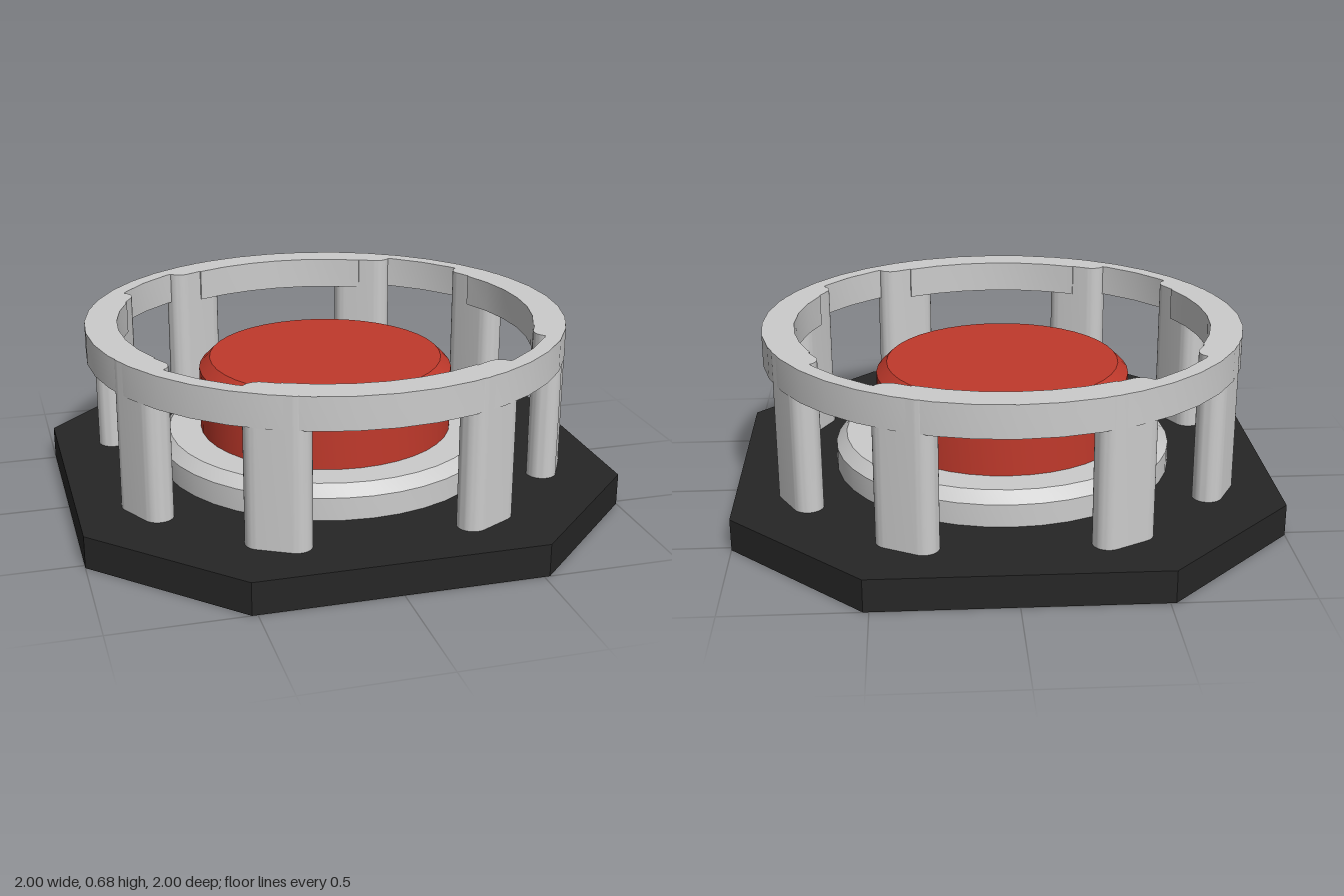
import * as THREE from 'three';
import { toCreasedNormals } from 'three/addons/utils/BufferGeometryUtils.js';

const grey = new THREE.MeshStandardMaterial({ color: 0xcccccc });
const black = new THREE.MeshStandardMaterial({ color: 0x262626 });
const red = new THREE.MeshStandardMaterial({ color: 0xc0392b });
const SEGMENTS = 40;

function part(name, geometry, material, parent) {
  const mesh = new THREE.Mesh(geometry, material);
  mesh.name = name;
  parent.add(mesh);
  return mesh;
}

// Extrudes a plan outline upwards from y0 to y1
function slab(shape, y0, y1) {
  const geometry = new THREE.ExtrudeGeometry(shape, { depth: y1 - y0, bevelEnabled: false, curveSegments: 10 });
  geometry.rotateX(-Math.PI / 2).translate(0, y0, 0);
  return toCreasedNormals(geometry, 0.5);
}

function turned(profile) {
  const points = profile.map(([r, y]) => new THREE.Vector2(r, y));
  return toCreasedNormals(new THREE.LatheGeometry(points, SEGMENTS), 0.5);
}

function arcPoints(radius, from, to, steps) {
  return Array.from({ length: steps + 1 }, (_, i) => {
    const a = from + ((to - from) * i) / steps;
    return new THREE.Vector2(radius * Math.cos(a), radius * Math.sin(a));
  });
}

export function createModel() {
  const model = new THREE.Group();
  model.name = 'guardedPushButton';

  // Eight-sided base plate: a square with its corners cut off
  const c = 0.52;
  const plate = [[1, -c], [1, c], [c, 1], [-c, 1], [-1, c], [-1, -c], [-c, -1], [c, -1]];
  part('basePlate', slab(new THREE.Shape(plate.map(([x, y]) => new THREE.Vector2(x, y))), 0, 0.12), black, model);

  // Collar and button, both with a chamfered rim
  part('collar', turned([[0, 0.12], [0.64, 0.12], [0.64, 0.205], [0.6, 0.245], [0, 0.245]]), grey, model);
  part('button', turned([[0, 0.2], [0.48, 0.2], [0.48, 0.48], [0.44, 0.52], [0, 0.52]]), red, model);

  // Guard ring: thick on the four sides, thin across the four diagonals
  const ring = new THREE.Shape(arcPoints(0.9, 0, Math.PI * 2, SEGMENTS).slice(0, -1));
  const step = THREE.MathUtils.degToRad(26);
  const inner = [];
  for (let k = 0; k < 4; k++) {
    const a = (k * Math.PI) / 2;
    inner.push(...arcPoints(0.78, a - step, a + step, 6));
    inner.push(...arcPoints(0.84, a + step, a + Math.PI / 2 - step, 4));
  }
  ring.holes.push(new THREE.Path(inner));
  part('guardRing', slab(ring, 0.56, 0.68), grey, model);

  // Guard posts: rounded bars in mirrored pairs, flush with the ring's top
  const r = 0.055, half = 0.0625;
  const bar = new THREE.Shape();
  bar.moveTo(-half, -r);
  bar.lineTo(half, -r);
  bar.absarc(half, 0, r, -Math.PI / 2, Math.PI / 2, false);
  bar.lineTo(-half, r);
  bar.absarc(-half, 0, r, Math.PI / 2, Math.PI * 1.5, false);
  const barGeometry = slab(bar, 0.12, 0.68);
  for (let k = 0; k < 4; k++) {
    const pair = new THREE.Group();
    pair.name = 'guardPostPair';
    pair.rotation.y = (k * Math.PI) / 2;
    model.add(pair);
    for (const side of [-1, 1]) {
      const post = part('guardPost', barGeometry, grey, pair);
      post.position.set(side * 0.37, 0, 0.755);
      post.rotation.y = side * 0.49;
    }
  }
  return model;
}
